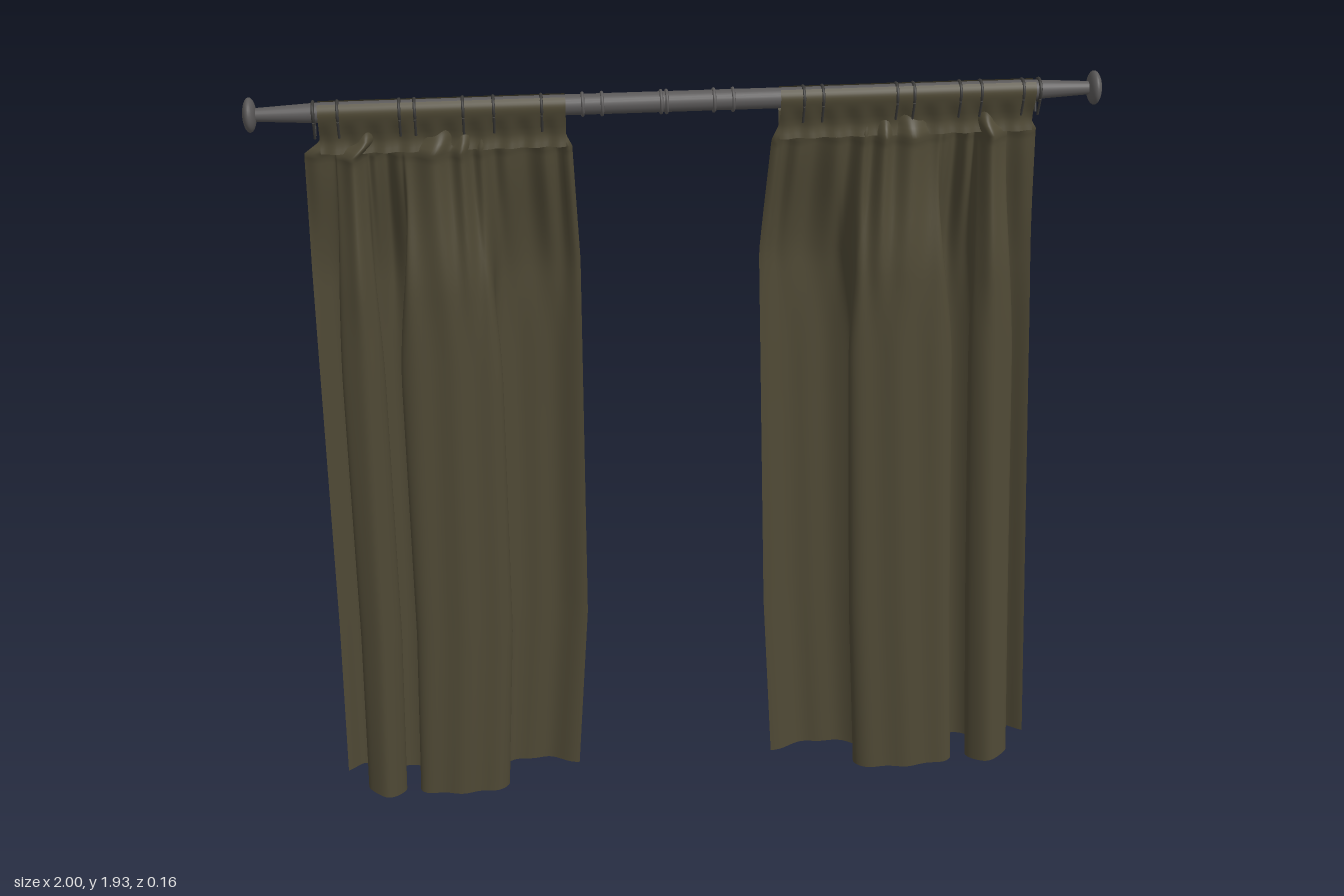
import * as THREE from 'three';

const ROD_Y = 1.902, ROD_Z = 0.007;
const { lerp, smoothstep } = THREE.MathUtils;

// Folds from the inner edge outward: centre, half width (share of panel), depth
const FOLDS = [[0.17, 0.17, -0.08], [0.5, 0.19, 0.06], [0.7, 0.09, -0.074], [0.83, 0.08, 0.072], [0.93, 0.07, -0.068]];

// Distance of each panel edge from the middle at these heights
const HEIGHTS = [0, 0.5, 1.5, 1.8, 1.83];
const PANELS = [
  { name: 'rightCurtain', side: -1, inner: [0.27, 0.237, 0.235, 0.25, 0.265], outer: [0.895, 0.885, 0.877, 0.87, 0.83],
    rings: [0.32, 0.43, 0.5, 0.61, 0.645, 0.785, 0.84] },
  { name: 'leftCurtain', side: 1, inner: [0.26, 0.23, 0.2, 0.22, 0.235], outer: [0.965, 0.935, 0.875, 0.857, 0.84],
    rings: [0.29, 0.335, 0.51, 0.55, 0.66, 0.71, 0.81, 0.85] },
];

// Linear lookup of an edge at height y
function edgeAt(values, y) {
  let i = 1;
  while (i < HEIGHTS.length - 1 && y > HEIGHTS[i]) i++;
  const t = (y - HEIGHTS[i - 1]) / (HEIGHTS[i] - HEIGHTS[i - 1]);
  return lerp(values[i - 1], values[i], Math.min(t, 1));
}

// Sheet from a function (u, v) -> [x, y, z]
function sheet(nu, nv, fn) {
  const pos = [], idx = [];
  for (let j = 0; j <= nv; j++)
    for (let i = 0; i <= nu; i++) pos.push(...fn(i / nu, j / nv));
  for (let j = 0; j < nv; j++)
    for (let i = 0; i < nu; i++) {
      const a = j * (nu + 1) + i, b = a + nu + 1;
      idx.push(a, a + 1, b, a + 1, b + 1, b);
    }
  const g = new THREE.BufferGeometry();
  g.setAttribute('position', new THREE.Float32BufferAttribute(pos, 3));
  g.setIndex(idx);
  g.computeVertexNormals();
  return g;
}

// Plan of the folds; widthScale narrows them until they no longer overlap
function foldPlan(widthScale) {
  const last = FOLDS.length - 1;
  const plan = FOLDS.flatMap(([c, w, z], i) => [-1, 0, 1].map(k => {
    const outerEdge = (i === 0 && k < 0) || (i === last && k > 0);
    return new THREE.Vector3(c + k * w * (outerEdge ? 1 : widthScale), 0, k ? z * 0.55 : z);
  }));
  return new THREE.CatmullRomCurve3(plan);
}

// Hanging cloth: deep overlapping folds below, tight gathers under the heading
function drapeGeometry(p) {
  const deep = foldPlan(1), open = foldPlan(0.6);
  return sheet(196, 70, (u, v) => {
    const q = deep.getPoint(u);
    const hem = 0.012 + 0.024 * smoothstep(q.x, 0.65, 1);
    const y = lerp(hem, 1.87, 1 - (1 - v) ** 1.6);
    const s = lerp(q.x, open.getPoint(u).x, smoothstep(y, 1.2, 1.8));
    const depth = lerp(1.1, 0.94, smoothstep(y, 0, 1.4)) - 0.66 * smoothstep(y, 1.45, 1.82) - 0.18 * smoothstep(y, 1.8, 1.86);
    const gather = smoothstep(y, 1.25, 1.78) * (1 - 0.7 * smoothstep(y, 1.81, 1.86));
    const ripple = Math.sin(s * 62 + 1.3 * Math.sin(s * 17)) * 0.011 * gather;
    const soft = Math.sin(s * 40 + y * 0.8) * 0.004 * (1 - gather);
    const cinch = 0.006 * Math.exp(-(((y - 1.805) / 0.012) ** 2));
    const x = p.side * lerp(edgeAt(p.inner, y), edgeAt(p.outer, y), s);
    // Back folds keep their depth while front folds deepen toward the hem
    const z = q.z * (q.z < 0 ? Math.min(depth, 0.96) : depth);
    return [x, y, z + ripple + soft + cinch + ROD_Z * smoothstep(y, 1.6, 1.85)];
  });
}

// Heading pocket: front (face 1) or back (face -1) of the sleeve around the rod
function headingGeometry(p, face) {
  const profile = new THREE.CatmullRomCurve3([
    new THREE.Vector3(0, 1.805, 0.012), new THREE.Vector3(0, 1.835, 0.007),
    new THREE.Vector3(0, 1.879, 0.021), new THREE.Vector3(0, ROD_Y, 0.0265),
    new THREE.Vector3(0, 1.915, 0.0235), new THREE.Vector3(0, 1.925, 0.015),
  ]);
  return sheet(90, 14, (u, v) => {
    const q = profile.getPoint(v);
    const ripple = 0.004 * Math.sin(u * 62) * (1 - smoothstep(q.y, 1.84, 1.89));
    return [p.side * lerp(p.inner[4], p.outer[4], u), q.y, ROD_Z + face * q.z + ripple];
  });
}

export function createModel() {
  const cloth = new THREE.MeshStandardMaterial({ color: 0x4f4935, side: THREE.DoubleSide });
  cloth.name = 'olive cloth';
  const metal = new THREE.MeshStandardMaterial({ color: 0x5b5959 });
  metal.name = 'grey metal';
  const dark = new THREE.MeshStandardMaterial({ color: 0x3b3a38 });
  dark.name = 'dark metal';

  const model = new THREE.Group();
  model.name = 'curtains';
  const add = (parent, name, geo, mat, x, y = ROD_Y, z = ROD_Z) => {
    const m = new THREE.Mesh(geo, mat);
    m.name = name;
    m.position.set(x, y, z);
    parent.add(m);
    return m;
  };

  // Rod: straight middle with tapered ends
  add(model, 'rod', new THREE.CylinderGeometry(0.024, 0.024, 1.64, 24).rotateZ(Math.PI / 2), metal, 0);
  const taper = new THREE.CylinderGeometry(0.015, 0.024, 0.16, 24);
  const finial = new THREE.SphereGeometry(0.04, 24, 16).scale(0.4, 1, 1);
  for (const s of [-1, 1]) {
    const side = s > 0 ? 'left' : 'right';
    add(model, side + 'RodEnd', taper, metal, s * 0.9).rotation.z = -s * Math.PI / 2;
    add(model, side + 'Finial', finial, metal, s * 0.984);
  }

  // Bare rings on the middle of the rod
  const ring = new THREE.TorusGeometry(0.0255, 0.004, 8, 24).rotateY(Math.PI / 2);
  for (const x of [-0.225, -0.18, -0.043, -0.03, 0.08, 0.125]) add(model, 'rodRing', ring, metal, x);

  // Curtain panels with their heading, rings and hooks
  const hook = new THREE.CylinderGeometry(0.003, 0.003, 0.045, 8);
  for (const p of PANELS) {
    const panel = new THREE.Group();
    panel.name = p.name;
    model.add(panel);
    add(panel, 'drape', drapeGeometry(p), cloth, 0, 0, 0);
    add(panel, 'headingFront', headingGeometry(p, 1), cloth, 0, 0, 0);
    add(panel, 'headingBack', headingGeometry(p, -1), cloth, 0, 0, 0);
    for (const d of p.rings) {
      add(panel, 'curtainRing', ring, dark, p.side * d);
      for (const face of [-1, 1])
        add(panel, 'ringHook', hook, dark, p.side * d, 1.865, ROD_Z + face * 0.018).rotation.x = face * 0.35;
    }
  }
  return model;
}
